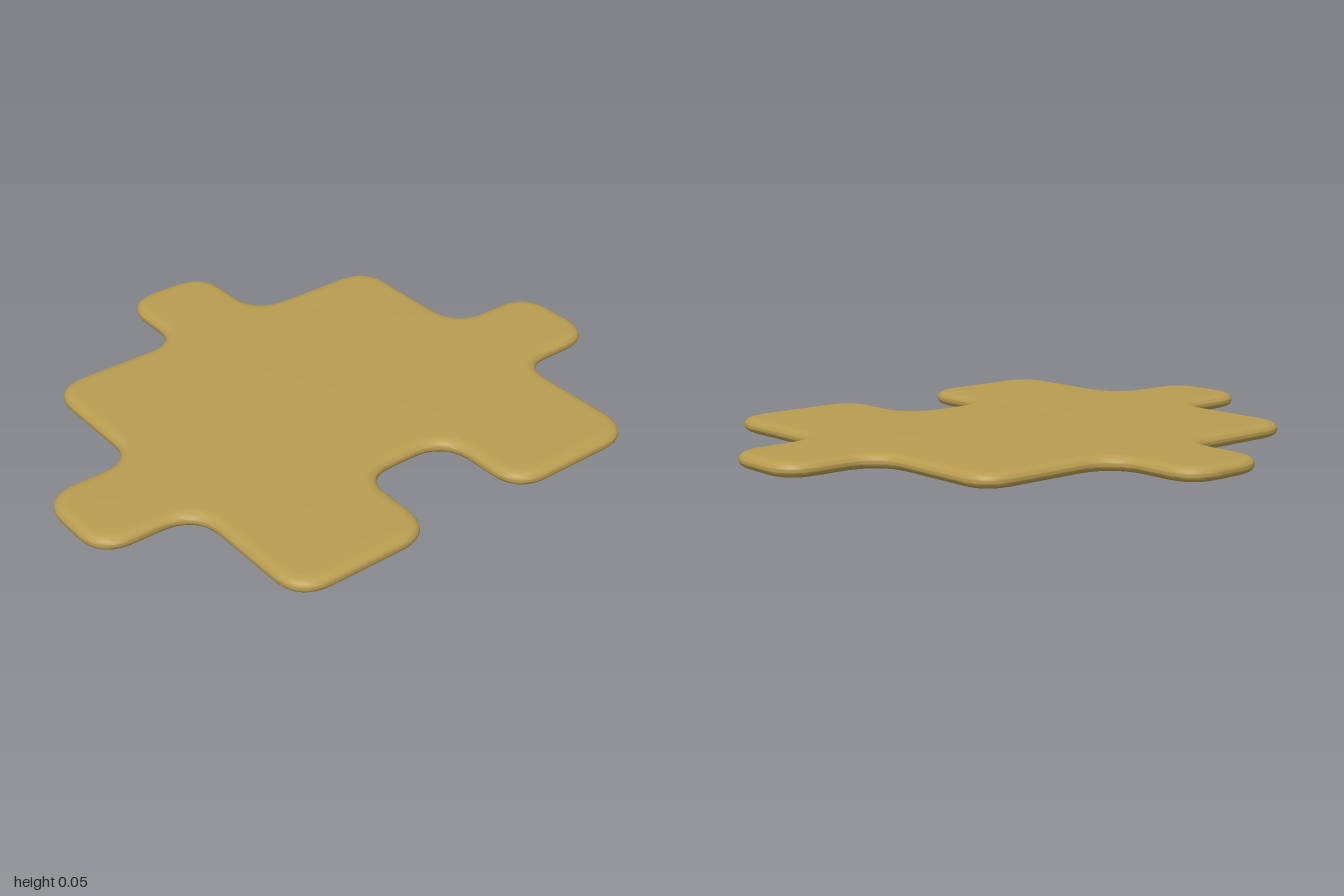
import * as THREE from 'three';
import { toCreasedNormals } from 'three/addons/utils/BufferGeometryUtils.js';

const UNIT = 1 / 6;       // outline grid step
const REACH = 0.125;      // how far each corner's rounding runs along its edges
const THICKNESS = 0.05;
const BEVEL = 0.04;

// Closed outline through the corners, each rounded by a quadratic curve
function roundedOutline(corners) {
  const shape = new THREE.Shape();
  const n = corners.length;
  const towards = (a, b) => a.clone().add(b.clone().sub(a).setLength(REACH));
  corners.forEach((corner, i) => {
    const start = towards(corner, corners[(i + n - 1) % n]);
    const end = towards(corner, corners[(i + 1) % n]);
    if (i === 0) shape.moveTo(start.x, start.y);
    else shape.lineTo(start.x, start.y);
    shape.quadraticCurveTo(corner.x, corner.y, end.x, end.y);
  });
  shape.closePath();
  return shape;
}

export function createModel() {
  const group = new THREE.Group();
  group.name = 'puzzlePiece';

  // Right half of the outline in grid steps (x, z): back tab, side tab, front notch
  const half = [
    [1, -5], [1, -3], [4, -3], [4, 0], [6, 0],
    [6, 2], [4, 2], [4, 5], [1, 5], [1, 3],
  ];
  const mirrored = half.map(([x, z]) => [-x, z]).reverse();
  const corners = [...half, ...mirrored]
    .map(([x, z]) => new THREE.Vector2(x * UNIT, -z * UNIT))
    .reverse();

  // Thin slab with softly rounded rims, laid flat on the ground
  const bevelThickness = THICKNESS * 0.45;
  const slab = new THREE.ExtrudeGeometry(roundedOutline(corners), {
    depth: THICKNESS - 2 * bevelThickness,
    curveSegments: 12,
    bevelEnabled: true,
    bevelThickness,
    bevelSize: BEVEL,
    bevelOffset: -BEVEL,
    bevelSegments: 6,
  });
  slab.translate(0, 0, bevelThickness);
  slab.rotateX(-Math.PI / 2);

  const piece = new THREE.Mesh(
    toCreasedNormals(slab, 0.8),
    new THREE.MeshStandardMaterial({ color: 0xb89c50 }),
  );
  piece.name = 'piece';
  group.add(piece);
  return group;
}
